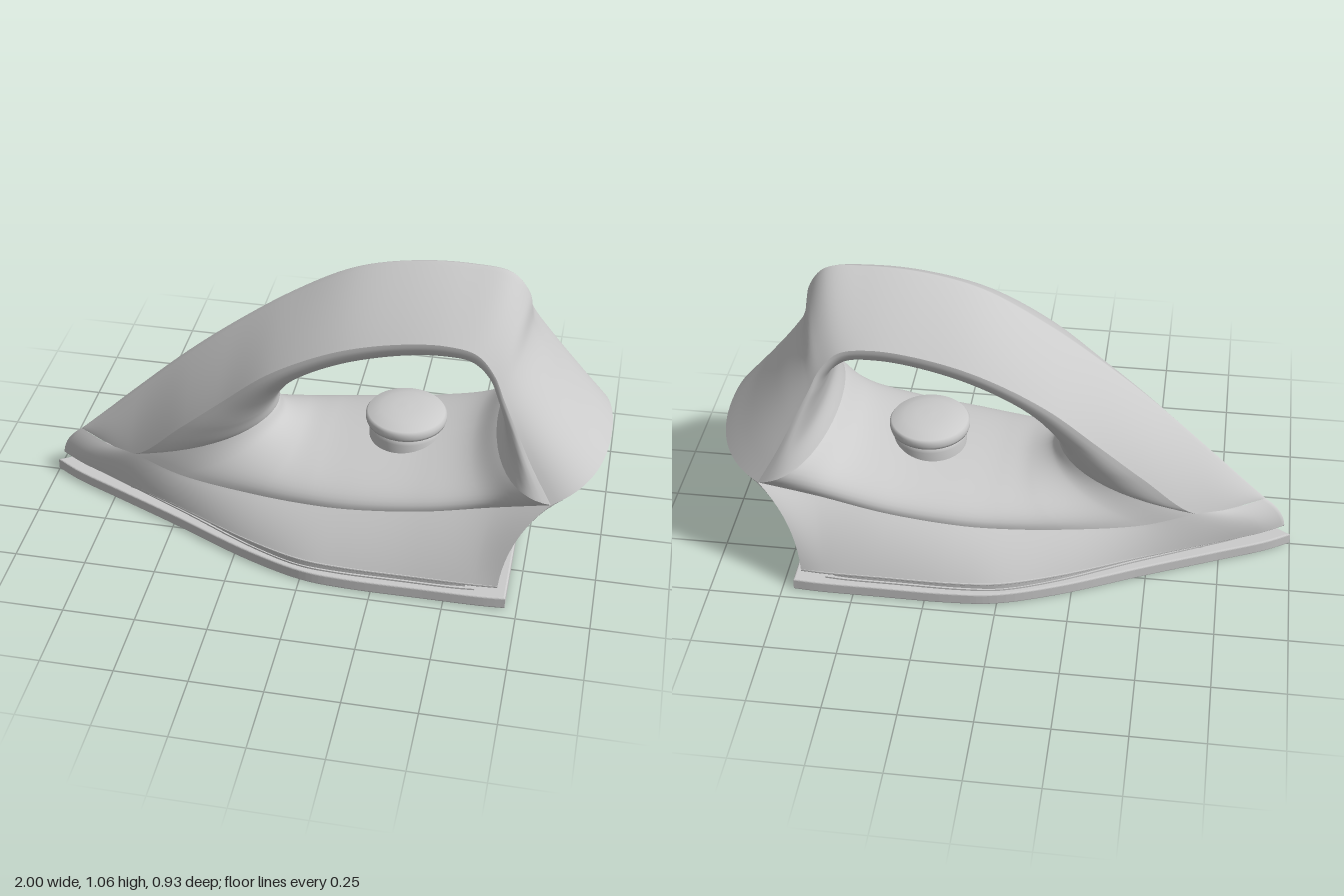
import * as THREE from 'three';
import { mergeGeometries, mergeVertices } from 'three/addons/utils/BufferGeometryUtils.js';

const V = (x, y, z = 0) => new THREE.Vector3(x, y, z);
const spline = (pts) => new THREE.CatmullRomCurve3(pts.map((p) => V(...p)));

// Guide curves of the +z half, running from the nose to the heel
const ridgePts = [[-0.9, 0.2], [-0.8, 0.295], [-0.66, 0.43], [-0.48, 0.597], [-0.31, 0.737], [-0.12, 0.875], [0.1, 1.0],
  [0.3, 1.05], [0.49, 1.06], [0.63, 1.042], [0.69, 0.965], [0.71, 0.86], [0.79, 0.72], [0.89, 0.585], [1, 0.46]];
const shellEdgePts = [[-0.9, 0.2, 0], [-0.78, 0.205, 0.075], [-0.66, 0.22, 0.14], [-0.47, 0.4, 0.192], [-0.32, 0.54, 0.215],
  [-0.14, 0.7, 0.238], [0.08, 0.82, 0.247], [0.28, 0.875, 0.245], [0.45, 0.89, 0.244], [0.55, 0.87, 0.247],
  [0.61, 0.81, 0.262], [0.65, 0.73, 0.285], [0.7, 0.63, 0.31], [0.76, 0.51, 0.335], [0.83, 0.385, 0.355]];
const holeTopPts = [[-0.163, 0.42], [-0.157, 0.47], [-0.12, 0.54], [-0.05, 0.625], [0.09, 0.705], [0.28, 0.762],
  [0.42, 0.782], [0.52, 0.78], [0.58, 0.745], [0.61, 0.69], [0.63, 0.62], [0.635, 0.56], [0.61, 0.48]];
const deckEdgePts = [[-0.9, 0.2, 0], [-0.78, 0.202, 0.075], [-0.66, 0.22, 0.14], [-0.48, 0.2, 0.2], [-0.2, 0.21, 0.27],
  [0, 0.222, 0.305], [0.15, 0.236, 0.322], [0.4, 0.27, 0.328], [0.63, 0.32, 0.325], [0.83, 0.385, 0.355]];
const holeFloorPts = [[-0.163, 0.42], [-0.14, 0.38], [-0.07, 0.347], [0.02, 0.34],
  [0.15, 0.347], [0.38, 0.372], [0.53, 0.415], [0.61, 0.48]];
const hemPts = [[-0.975, 0.085, 0], [-0.89, 0.085, 0.052], [-0.72, 0.085, 0.13], [-0.5, 0.085, 0.23], [-0.2, 0.085, 0.372],
  [0, 0.085, 0.44], [0.15, 0.085, 0.455], [0.4, 0.085, 0.456], [0.6, 0.085, 0.455], [0.68, 0.085, 0.45]];

const bezier = (a, m, b, v) => new THREE.QuadraticBezierCurve3(a, m, b).getPoint(v);

// Grid surface from a point rule, mirrored across z = 0 and welded
function mirroredSurface(name, rule, nu, nv, material) {
  const pos = [], index = [];
  for (let i = 0; i <= nu; i++) {
    for (let j = 0; j <= nv; j++) {
      pos.push(...rule(i / nu, j / nv).toArray());
      if (i < nu && j < nv) {
        const a = i * (nv + 1) + j, b = a + nv + 1;
        index.push(a, a + 1, b, b, a + 1, b + 1);
      }
    }
  }
  const build = (side) => {
    const g = new THREE.BufferGeometry();
    g.setAttribute('position', new THREE.Float32BufferAttribute(pos.map((p, k) => (k % 3 === 2 ? p * side : p)), 3));
    g.setIndex(side > 0 ? index : [...index].reverse());
    return g;
  };
  const geo = mergeVertices(mergeGeometries([build(1), build(-1)]), 1e-5);
  geo.computeVertexNormals();
  const mesh = new THREE.Mesh(geo, material);
  mesh.name = name;
  return mesh;
}

// Flat plate following the hem outline, scaled and shifted
function plate(name, sx, sz, dx, y0, y1, bevel, material, holes = []) {
  const half = spline(hemPts).getPoints(60).map((p) => new THREE.Vector2(p.x * sx + dx, p.z * sz));
  const other = half.slice(1).reverse().map((p) => new THREE.Vector2(p.x, -p.y));
  const shape = new THREE.Shape([...half, ...other]);
  for (const [x, z] of holes) shape.holes.push(new THREE.Path().absarc(x, z, 0.022, 0, Math.PI * 2, true));
  const geo = new THREE.ExtrudeGeometry(shape, {
    depth: y1 - y0 - 2 * bevel, bevelEnabled: bevel > 0, bevelThickness: bevel,
    bevelSize: bevel, bevelOffset: -bevel, bevelSegments: 3, curveSegments: 8,
  });
  geo.rotateX(Math.PI / 2).translate(0, y1 - bevel, 0);
  const mesh = new THREE.Mesh(geo, material);
  mesh.name = name;
  return mesh;
}

export function createModel() {
  const iron = new THREE.Group();
  iron.name = 'iron';
  const grey = new THREE.MeshStandardMaterial({ color: 0xcccccc });
  const thin = new THREE.MeshStandardMaterial({ color: 0xcccccc, side: THREE.DoubleSide });

  // Soleplate with two rows of steam dimples underneath, and the recessed neck above
  const dimples = [];
  for (let i = 0; i < 6; i++) {
    for (const s of [-1, 1]) dimples.push([0.38 - 0.212 * i, s * (0.325 - 0.045 * i)]);
  }
  iron.add(plate('soleplate', 1.033, 1.015, 0.007, 0, 0.045, 0.006, grey, dimples));
  const bowl = new THREE.SphereGeometry(0.028, 16, 5, 0, Math.PI * 2, 0, Math.PI / 2).scale(1, 0.4, 1);
  for (const [x, z] of dimples) {
    const dimple = new THREE.Mesh(bowl, thin);
    dimple.name = 'steamDimple';
    dimple.position.set(x, 0.001, z);
    iron.add(dimple);
  }
  iron.add(plate('neck', 0.864, 0.95, -0.018, 0.03, 0.088, 0, grey));
  iron.add(plate('neckStep', 0.9, 0.965, -0.01, 0.04, 0.051, 0, grey));
  iron.add(plate('bodyBase', 1, 1, 0, 0.08, 0.09, 0.003, grey));

  // Handle shell: full and rounded in front, roof-shaped on top, flattening towards the heel
  const ridge = spline(ridgePts), shellEdge = spline(shellEdgePts);
  const shellRow = (t, v) => {
    const a = ridge.getPoint(t), c = shellEdge.getPoint(t);
    const front = 1 - THREE.MathUtils.smoothstep(t, 0.15, 0.55);
    const heel = THREE.MathUtils.smoothstep(t, 0.6, 0.95);
    const m = a.clone().lerp(c, 0.38 * (1 - heel));
    m.z = c.z * (0.52 + 0.14 * front + 0.34 * heel);
    return bezier(a, m, c, v);
  };
  iron.add(mirroredSurface('handleShell', shellRow, 112, 16, grey));

  // Flanks round inwards from an edge to the rim of the hand opening, fuller at both ends
  const flank = (edge, rim, w, t) => {
    const p = edge.clone().lerp(rim, Math.sin(w * Math.PI / 2));
    const fill = 0.075 * Math.exp(-5 * t) + 0.055 * Math.exp(-5 * (1 - t));
    p.z = edge.z * Math.cos(w * Math.PI / 2) + fill * Math.sin(w * Math.PI);
    return p;
  };
  const deckEdge = spline(deckEdgePts);
  const holeTop = spline(holeTopPts), holeFloor = spline(holeFloorPts);
  iron.add(mirroredSurface('handleUnderside',
    (t, v) => flank(shellEdge.getPoint((2 + 12 * t) / 14), holeTop.getPoint(t), v, t), 96, 14, grey));
  iron.add(mirroredSurface('deck',
    (t, v) => flank(deckEdge.getPoint((2 + 7 * t) / 9), holeFloor.getPoint(t), 1 - v, t), 70, 14, grey));

  // Skirt from the deck edge down to the hem
  const hem = spline(hemPts);
  iron.add(mirroredSurface('skirt', (t, v) => {
    const d = deckEdge.getPoint(t), b = hem.getPoint(t);
    const m = V(b.x + 0.1 * (d.x - b.x), b.y + 0.6 * (d.y - b.y), b.z + 0.4 * (d.z - b.z));
    return bezier(d, m, b, v);
  }, 72, 10, grey));

  // Concave heel wall under the rear lip
  iron.add(mirroredSurface('heelWall', (t, v) => {
    const lip = shellRow(1, t);
    const low = V(0.68, 0.085, 0.45 * t);
    const m = V(0.695, 0.265 + 1.3 * (lip.y - 0.385), 0.45 * t + 0.4 * (lip.z - 0.45 * t));
    return bezier(low, m, lip, v);
  }, 16, 16, grey));

  // Temperature dial
  const dialProfile = [[0.128, 0.31], [0.128, 0.385], [0.118, 0.392], [0.118, 0.404], [0.138, 0.41],
    [0.141, 0.42], [0.141, 0.436], [0.134, 0.446], [0.09, 0.459], [0.045, 0.464], [0, 0.465]];
  const dial = new THREE.Mesh(
    new THREE.LatheGeometry(dialProfile.map((p) => new THREE.Vector2(...p)), 48), grey);
  dial.name = 'temperatureDial';
  dial.position.x = 0.292;
  iron.add(dial);

  return iron;
}
